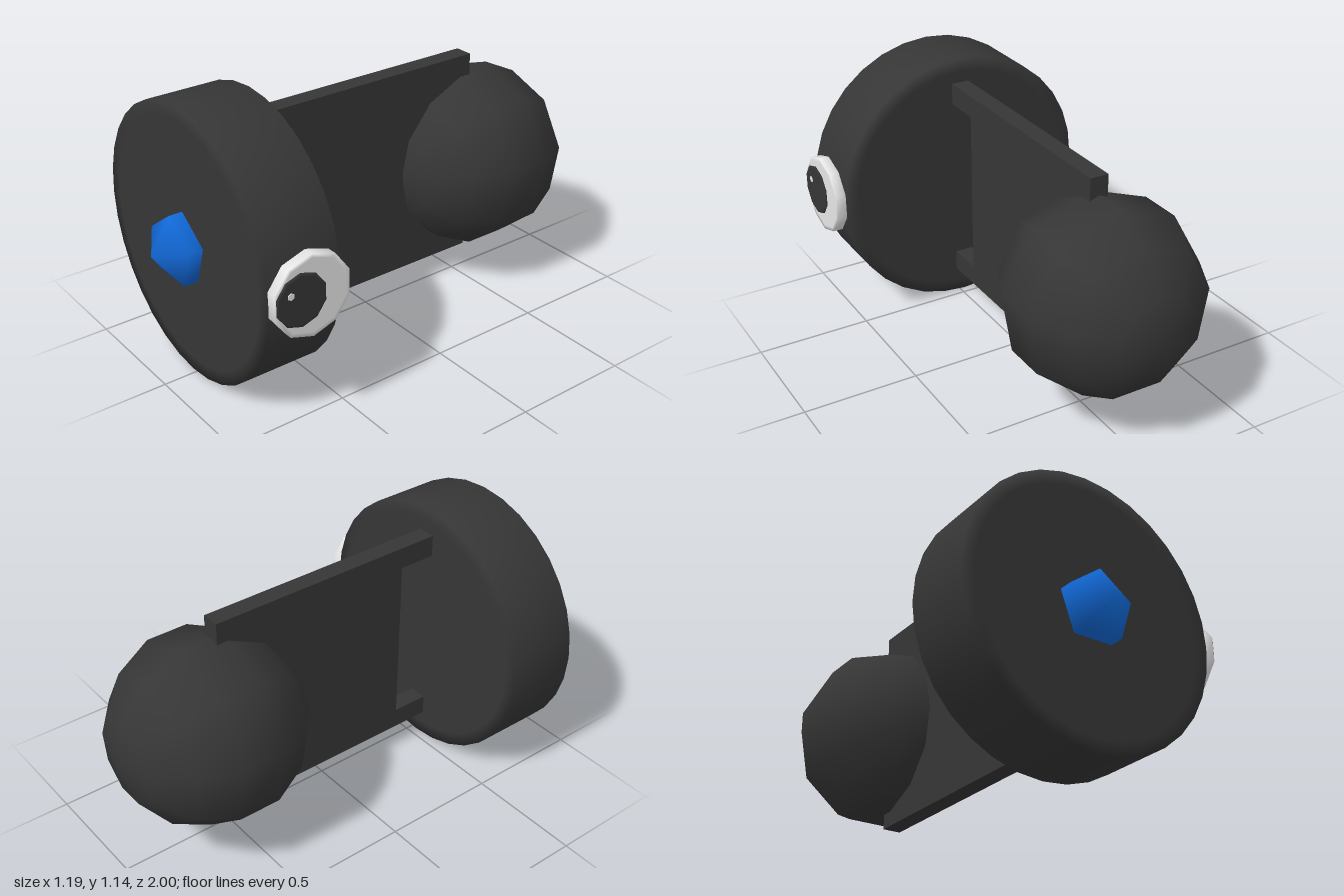
import * as THREE from 'three';

const CX = -0.025; // centre line of the body

export function createModel() {
  const group = new THREE.Group();
  const paint = (name, color) => {
    const m = new THREE.MeshStandardMaterial({ color });
    m.name = name;
    return m;
  };
  const charcoal = paint('charcoal', 0x363636);
  const blue = paint('blue', 0x1168d6);
  const white = paint('white', 0xf2f2f2);

  const add = (name, geometry, material, x, y, z) => {
    const mesh = new THREE.Mesh(geometry, material);
    mesh.name = name;
    mesh.position.set(x, y, z);
    group.add(mesh);
  };

  // Solid disc with softly shaded rim, standing on its own y axis
  const disc = (r, depth, sides, inner = 0.9) => new THREE.LatheGeometry(
    [[0, -1], [r * inner, -1], [r, -1], [r, 1], [r * inner, 1], [0, 1]]
      .map(([x, y]) => new THREE.Vector2(x, y * depth / 2)),
    sides, Math.PI / 2);

  // Coarse ball with poles along z and one vertex row pointing up
  const ball = (r, sides, rings) =>
    new THREE.SphereGeometry(r, sides, rings, Math.PI * 1.5).rotateX(Math.PI / 2);

  // Big front disc and its nose
  add('headDisc', disc(0.572, 0.32, 32).rotateX(Math.PI / 2), charcoal, CX, 0.572, 0.695);
  add('nose', ball(0.17, 5, 3), blue, CX, 0.567, 0.83);

  // Flat body plate with two prongs reaching the disc, drawn in z and y
  const outline = new THREE.Shape([
    [-0.55, 0.115], [0.54, 0.115], [0.54, 0.205], [0.37, 0.205],
    [0.37, 0.94], [0.54, 0.94], [0.54, 1.035], [-0.55, 1.035],
  ].map(([z, y]) => new THREE.Vector2(z, y)));
  const plate = new THREE.ExtrudeGeometry(outline, { depth: 0.08, bevelEnabled: false })
    .translate(0, 0, -0.04).rotateY(-Math.PI / 2);
  add('bodyPlate', plate, charcoal, CX, 0, 0);

  // Rear ball
  add('rearBall', ball(0.41, 9, 7), charcoal, CX, 0.556, -0.59);

  // Eye on the rim: white, pupil and glint, stacked along x
  const eye = (name, r, x0, x1, sides, material, y, z) =>
    add(name, disc(r, x1 - x0, sides).rotateZ(-Math.PI / 2), material, (x0 + x1) / 2, y, z);
  eye('eyeWhite', 0.171, 0.545, 0.588, 10, white, 0.581, 0.69);
  eye('pupil', 0.11, 0.586, 0.595, 10, charcoal, 0.583, 0.742);
  eye('glint', 0.015, 0.594, 0.597, 6, white, 0.615, 0.788);

  return group;
}
